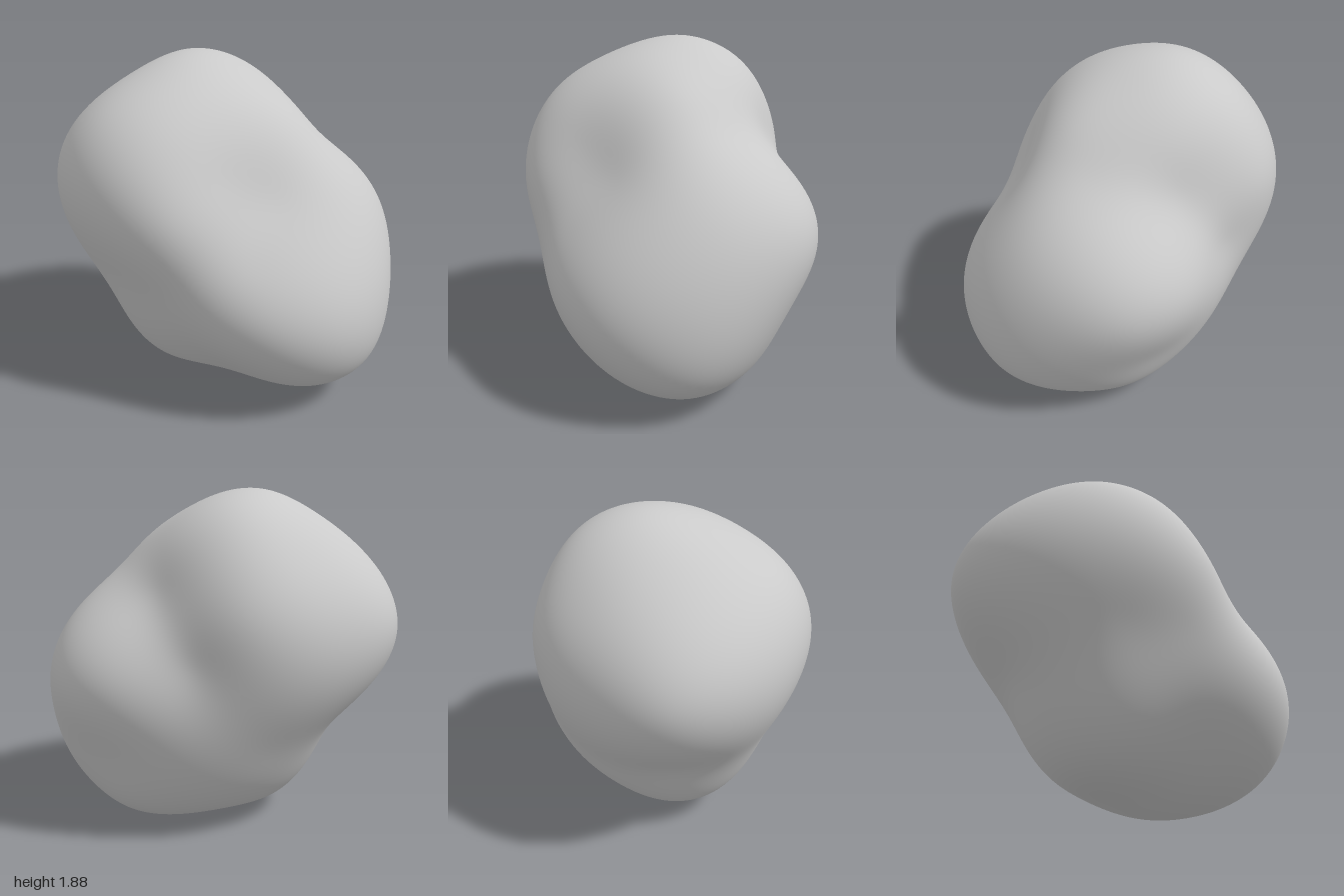
import * as THREE from 'three';
import { mergeVertices } from 'three/addons/utils/BufferGeometryUtils.js';

const CENTRE = new THREE.Vector3(0, 0.93, 0);
const BASE = 0.85; // mean radius
const REACH = 1.7; // how far one control point spreads over the unit sphere

// Control points on the boulder's skin
const CONTROL = [
  // upper lobe
  [-1, 1.13, 0], [-0.6, 1.7, -0.05], [-0.28, 1.87, -0.1], [0.1, 1.79, -0.1], [0.4, 1.61, 0],
  [-0.35, 1.76, 0.3], [-0.43, 1.58, 0.57], [0.08, 1.53, 0.56], [0.27, 1.35, 0.51], [0.12, 1.13, 0.77],
  [-0.7, 1.12, 0.58], [-0.35, 1.27, -0.68], [-0.25, 1.73, -0.45], [-0.6, 1.2, -0.58], [-0.85, 1.15, -0.33],
  [0.1, 1.6, -0.45], [-0.9, 0.86, 0.02], [-0.6, 1.54, -0.4],
  // valley between the lobes
  [0.5, 1.22, 0.35], [0.47, 1.45, -0.25], [0.15, 1.37, -0.53], [-0.08, 1.02, -0.67], [0.5, 0.95, 0.58],
  // side lobe
  [0.6, 1.25, -0.45], [0.85, 1.1, -0.15], [1, 0.55, 0.07], [0.33, 0.9, -0.77], [0.65, 0.85, -0.67],
  [0.85, 0.75, -0.44], [0.58, 0.65, 0.65], [0.86, 0.55, 0.45], [0.93, 0.27, 0], [0.72, 0.25, 0.39],
  [0.7, 0.3, -0.4], [0.4, 0.45, -0.62],
  // underside and lower front
  [0.7, 0.08, -0.1], [0.33, 0, -0.2], [0.4, 0.13, -0.45], [0, 0.03, 0], [0.3, 0.25, 0.45],
  [0.1, 0.45, 0.61], [0.02, 0.75, 0.72], [-0.3, 0.75, 0.65], [-0.25, 0.06, 0.05], [-0.25, 0.11, 0.27],
  [-0.5, 0.27, 0.05], [-0.68, 0.6, 0.05], [-0.43, 0.53, -0.43], [-0.28, 0.2, -0.28], [-0.45, 0.48, 0.45],
].map((p) => new THREE.Vector3(...p).sub(CENTRE));

// Smooth bump that fades to zero at REACH
function bump(a, b) {
  const t = Math.min(a.distanceTo(b) / REACH, 1);
  return (1 - t) ** 4 * (4 * t + 1);
}

// Bump strengths that make the skin pass through the control points
function radiusField() {
  const directions = CONTROL.map((p) => p.clone().normalize());
  const offsets = CONTROL.map((p) => p.length() - BASE);
  const matrix = directions.map((a) => directions.map((b) => bump(a, b)));
  const weights = offsets.map(() => 0);
  for (let pass = 0; pass < 4000; pass++) {
    for (let i = 0; i < weights.length; i++) {
      let rest = offsets[i];
      for (let j = 0; j < weights.length; j++) if (j !== i) rest -= matrix[i][j] * weights[j];
      weights[i] = rest / 1.005;
    }
  }
  return (d) => directions.reduce((r, c, i) => r + weights[i] * bump(d, c), BASE);
}

function boulderGeometry() {
  let geometry = new THREE.IcosahedronGeometry(1, 36);
  geometry.deleteAttribute('normal');
  geometry.deleteAttribute('uv');
  geometry = mergeVertices(geometry, 1e-4);

  // Push each vertex of the sphere out to the skin
  const radius = radiusField();
  const position = geometry.attributes.position;
  const v = new THREE.Vector3();
  for (let i = 0; i < position.count; i++) {
    v.fromBufferAttribute(position, i).normalize();
    v.multiplyScalar(radius(v));
    position.setXYZ(i, v.x, v.y, v.z);
  }

  // Stand it on the ground
  geometry.center();
  geometry.computeBoundingBox();
  geometry.translate(0, -geometry.boundingBox.min.y, 0);
  geometry.computeVertexNormals();
  return geometry;
}

export function createModel() {
  const group = new THREE.Group();
  group.name = 'rock';
  const stone = new THREE.MeshStandardMaterial({ color: 0xcacaca });
  stone.name = 'grey stone';
  const boulder = new THREE.Mesh(boulderGeometry(), stone);
  boulder.name = 'boulder';
  group.add(boulder);
  return group;
}
